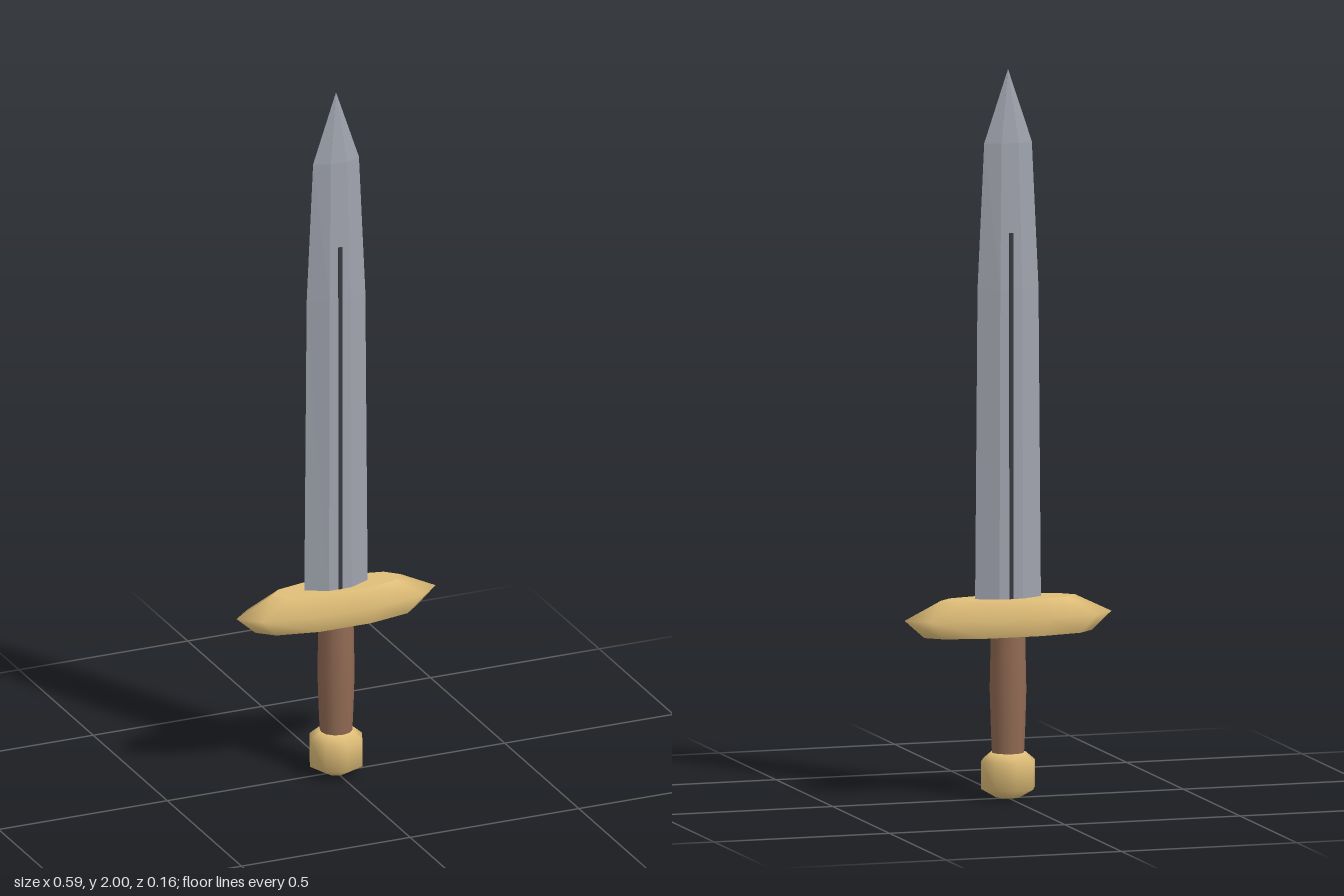
import * as THREE from 'three';

const material = (name, color) => {
  const m = new THREE.MeshStandardMaterial({ color });
  m.name = name;
  return m;
};

// Joins matching outlines (lists of [x, y, z]) into a closed solid with flat end caps.
// smooth: share the vertices around the sides so that they shade softly.
function loft(rings, smooth) {
  const n = rings[0].length;
  const positions = [], index = [];
  rings.forEach(ring => ring.forEach(p => positions.push(...p)));
  for (let r = 0; r < rings.length - 1; r++) {
    for (let i = 0; i < n; i++) {
      const a = r * n + i, b = r * n + (i + 1) % n;
      index.push(a, b, a + n, b, b + n, a + n);
    }
  }
  [[rings[0], false], [rings[rings.length - 1], true]].forEach(([ring, top]) => {
    const start = positions.length / 3;
    ring.forEach(p => positions.push(...p));
    for (let i = 1; i < n - 1; i++) {
      index.push(start, start + (top ? i : i + 1), start + (top ? i + 1 : i));
    }
  });
  let g = new THREE.BufferGeometry();
  g.setAttribute('position', new THREE.Float32BufferAttribute(positions, 3));
  g.setIndex(index);
  if (!smooth) g = g.toNonIndexed();
  g.computeVertexNormals();
  return g;
}

// Outline running from +x through -z, so that upward lofts face outward
const outline = (points, y, sx, sz) => points.map(([x, z]) => [x * sx, y, z * sz]);

export function createModel() {
  const group = new THREE.Group();
  const steel = material('steel', 0x9fa3ad);
  const dark = material('dark groove', 0x383b41);
  const brass = material('brass', 0xe0be78);
  const leather = material('brown leather', 0x916a53);

  const add = (name, geometry, mat) => {
    const mesh = new THREE.Mesh(geometry, mat);
    mesh.name = name;
    group.add(mesh);
    return mesh;
  };

  // Blade: a flattened hexagon narrowing to a point
  const hexagon = [[1, 0], [0.36, -1], [-0.36, -1], [-1, 0], [-0.36, 1], [0.36, 1]];
  const bladeSections = [
    [0.53, 0.094, 0.03], [1.4, 0.087, 0.029], [1.8, 0.068, 0.02], [2, 0.0005, 0.0005],
  ];
  add('blade', loft(bladeSections.map(([y, w, d]) => outline(hexagon, y, w, d)), false), steel);

  // Groove line on both faces of the blade
  [1, -1].forEach(side => {
    const strip = add(side > 0 ? 'frontGroove' : 'backGroove',
      new THREE.BoxGeometry(0.012, 1.015, 0.008), dark);
    strip.position.set(0, 1.0475, side * 0.0275);
  });

  // Crossguard: faceted oval, widest at mid height
  const oval = [
    [0.295, 0], [0.24, -0.05], [0.093, -0.08], [-0.093, -0.08], [-0.24, -0.05],
    [-0.295, 0], [-0.24, 0.05], [-0.093, 0.08], [0.093, 0.08], [0.24, 0.05],
  ];
  const guardSections = [[0.45, 0.81, 0.81], [0.5, 1, 1], [0.55, 0.65, 0.69]];
  add('crossguard', loft(guardSections.map(([y, sx, sz]) => outline(oval, y, sx, sz)), true), brass);

  // Grip and pommel, turned from simple profiles
  const turned = (profile, sides) => new THREE.LatheGeometry(
    profile.map(([r, y]) => new THREE.Vector2(r, y)), sides);
  add('grip', turned([[0.044, 0.11], [0.048, 0.2], [0.051, 0.3], [0.049, 0.39], [0.048, 0.46]], 12), leather);
  add('pommel', turned([
    [0, 0], [0.034, 0.003], [0.077, 0.028], [0.077, 0.103], [0.05, 0.126], [0, 0.127],
  ], 8), brass);

  return group;
}
